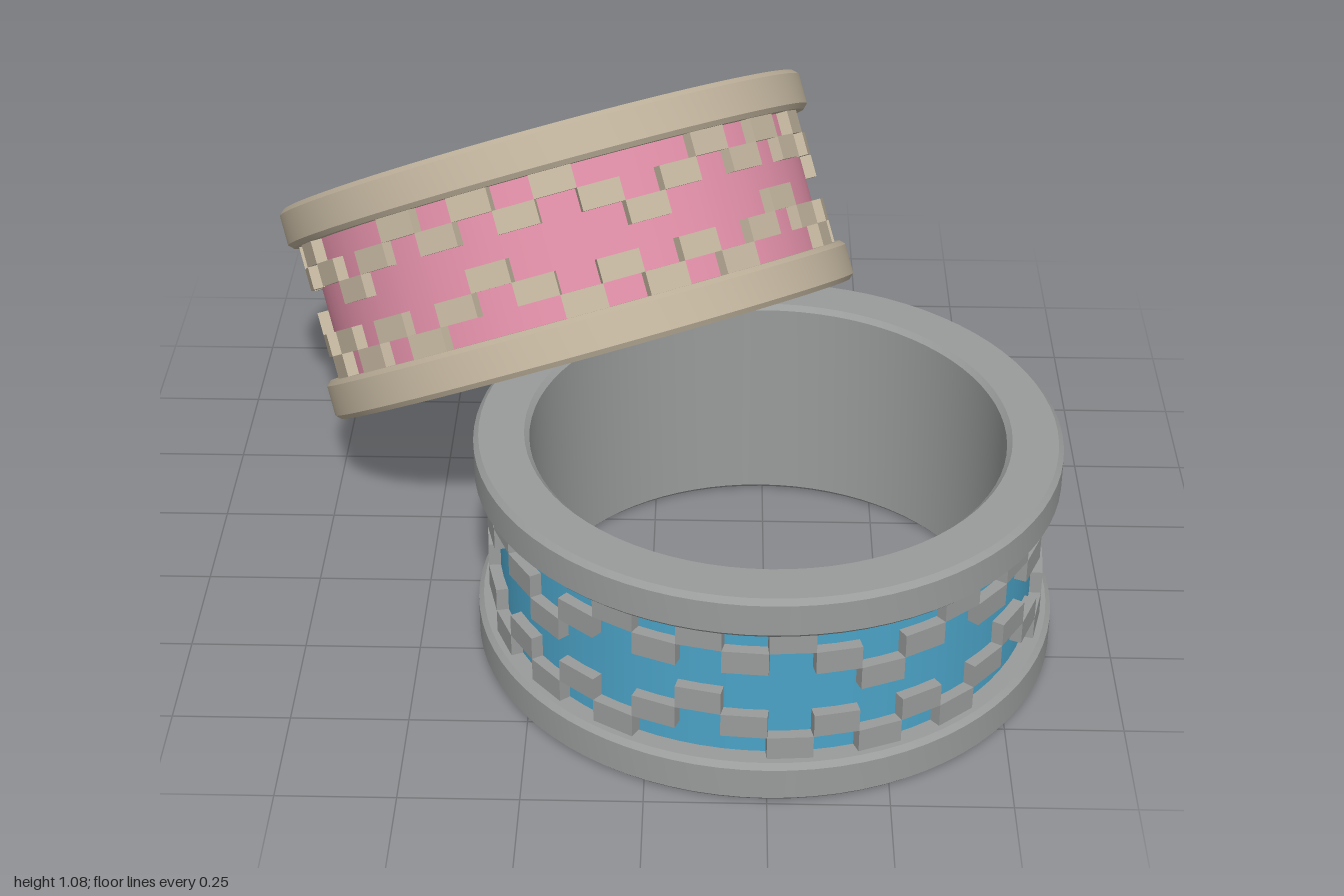
import * as THREE from 'three';
import { toCreasedNormals } from 'three/addons/utils/BufferGeometryUtils.js';

const material = (name, color) => {
  const m = new THREE.MeshStandardMaterial({ color });
  m.name = name;
  return m;
};

const OUTER = 0.625, INNER = 0.506, GROOVE = 0.57, HALF = 0.25, RIM = 0.158, BEVEL = 0.011;
const STEPS = 40, ROW = RIM / 3;

// Cross-section of the metal: two bevelled rims with a groove between them
function bodyGeometry() {
  const points = [
    [INNER, -HALF + BEVEL], [INNER + BEVEL, -HALF], [OUTER - BEVEL, -HALF], [OUTER, -HALF + BEVEL],
    [OUTER, -RIM - BEVEL], [OUTER - BEVEL, -RIM], [GROOVE, -RIM],
    [GROOVE, RIM], [OUTER - BEVEL, RIM], [OUTER, RIM + BEVEL],
    [OUTER, HALF - BEVEL], [OUTER - BEVEL, HALF], [INNER + BEVEL, HALF], [INNER, HALF - BEVEL],
    [INNER, -HALF + BEVEL],
  ].map(([r, y]) => new THREE.Vector2(r, y));
  return toCreasedNormals(new THREE.LatheGeometry(points, 80), 0.5);
}

// Row of a block in the zigzag: 0 beside the rim, 1 in between, 2 at the middle
function zigzagRow(step, peak) {
  const phase = (((step - peak) % 8) + 8) % 8;
  if (phase === 0) return 2;
  return phase % 2 === 1 ? 1 : 0;
}

function makeRing(name, metal, enamel) {
  const ring = new THREE.Group();
  ring.name = name;

  const body = new THREE.Mesh(bodyGeometry(), metal);
  body.name = 'ringBody';
  ring.add(body);

  // Coloured band lying in the groove
  const band = new THREE.Mesh(new THREE.CylinderGeometry(0.576, 0.576, RIM * 2, 80, 1, true), enamel);
  band.name = 'colouredBand';
  ring.add(band);

  // Raised stepped blocks, an upper and a lower zigzag half a period apart
  const blocks = new THREE.Group();
  blocks.name = 'zigzagBlocks';
  const width = 2 * 0.6 * Math.tan(Math.PI / STEPS);
  const blockGeometry = new THREE.BoxGeometry(width, ROW, 0.04);
  for (const [side, peak] of [[1, 2], [-1, 6]]) {
    for (let i = 0; i < STEPS; i++) {
      const angle = ((i + 0.5) / STEPS) * Math.PI * 2;
      const block = new THREE.Mesh(blockGeometry, metal);
      block.name = side > 0 ? 'upperBlock' : 'lowerBlock';
      block.position.set(
        Math.sin(angle) * 0.58,
        side * (RIM - (zigzagRow(i, peak) + 0.5) * ROW),
        Math.cos(angle) * 0.58
      );
      block.rotation.y = angle;
      blocks.add(block);
    }
  }
  ring.add(blocks);
  return ring;
}

export function createModel() {
  const model = new THREE.Group();
  model.name = 'pairOfRings';

  // Ring lying flat
  const flat = makeRing('flatRing', material('greyMetal', 0x999c9b), material('blueEnamel', 0x4ba3c7));
  flat.position.set(0.248, 0.26, 0.373);
  model.add(flat);

  // Ring leaning on the flat one, tipped towards the back right
  const leaning = makeRing('leaningRing', material('tanMetal', 0xbeb19b), material('pinkEnamel', 0xd98aa2));
  const axis = new THREE.Vector3(-0.277, 0.841, -0.465).normalize();
  leaning.quaternion.setFromUnitVectors(new THREE.Vector3(0, 1, 0), axis);
  leaning.rotateY(THREE.MathUtils.degToRad(3));
  leaning.position.set(-0.213, 0.55, -0.337);
  model.add(leaning);

  return model;
}
